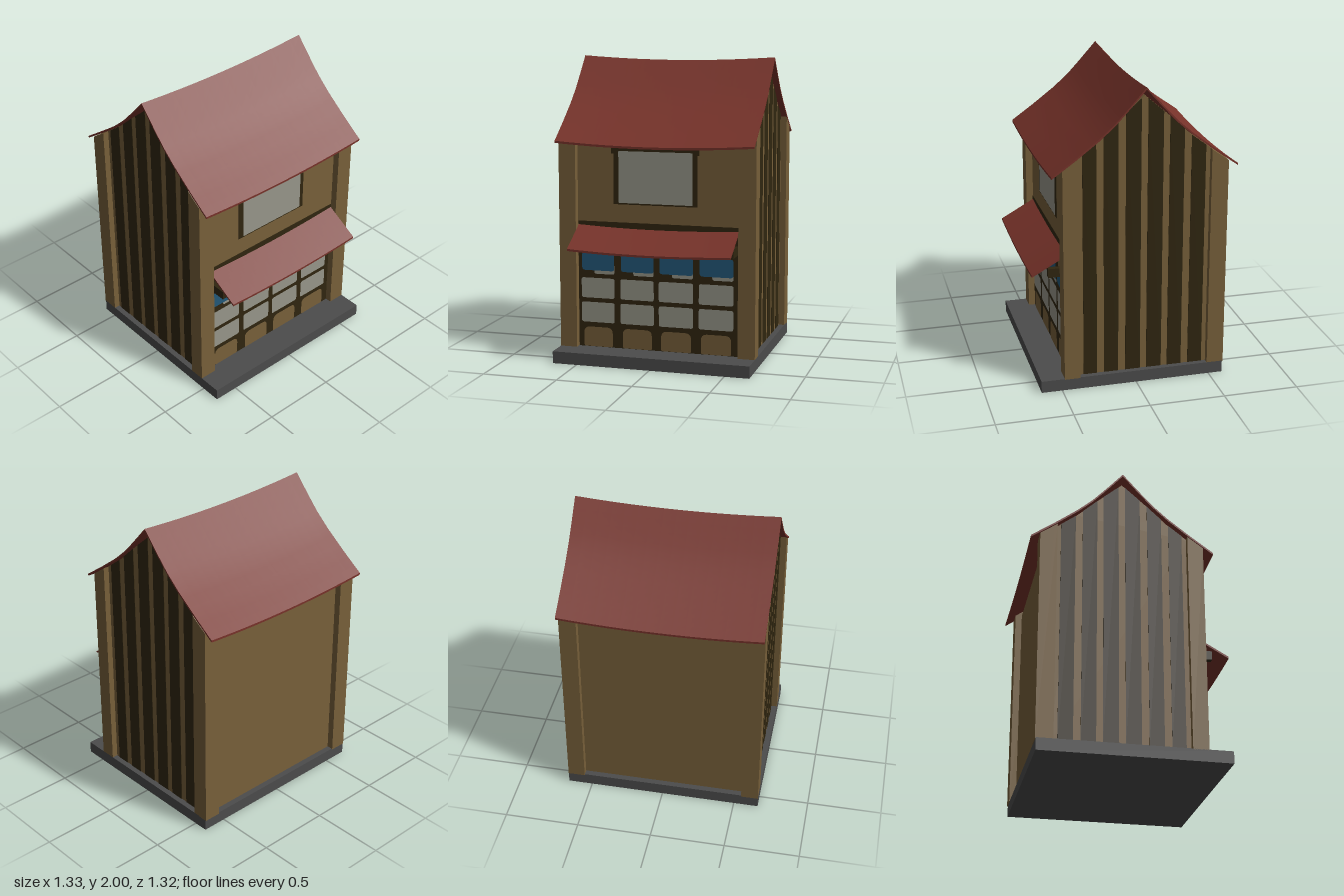
import * as THREE from 'three';

const mat = (name, color) => {
  const m = new THREE.MeshStandardMaterial({ color });
  m.name = name;
  return m;
};

export function createModel() {
  const wood = mat('wood', 0x78603a);
  const darkWood = mat('dark wood', 0x302610);
  const red = mat('roof red', 0x78332a);
  const paper = mat('paper', 0x98978a);
  const blue = mat('blue cloth', 0x23597a);
  const stone = mat('stone', 0x4c4c4c);

  const model = new THREE.Group();
  model.name = 'house';
  const RIDGE = -0.055;

  const add = (name, geometry, material) => {
    const m = new THREE.Mesh(geometry, material);
    m.name = name;
    model.add(m);
    return m;
  };
  // box given by its limits
  const block = (name, material, x0, x1, y0, y1, z0, z1) =>
    add(name, new THREE.BoxGeometry(x1 - x0, y1 - y0, z1 - z0), material)
      .position.set((x0 + x1) / 2, (y0 + y1) / 2, (z0 + z1) / 2);
  // linear interpolation through [d, y] points
  const lerp = (pts, d) => {
    let i = 1;
    while (i < pts.length - 1 && pts[i][0] < d) i++;
    const [a, b] = [pts[i - 1], pts[i]];
    return a[1] + (b[1] - a[1]) * (d - a[0]) / (b[0] - a[0]);
  };
  const roofLine = [[0, 2], [0.1, 1.888], [0.195, 1.785], [0.3, 1.692], [0.45, 1.578], [0.605, 1.468]];
  const gableLine = [[0, 1.94], [0.155, 1.806], [0.3, 1.672], [0.45, 1.558], [0.605, 1.448]];

  // slab standing across x, its top following the gable between z0 and z1
  const gableSlab = (name, material, x0, x1, z0, z1, y0) => {
    const shape = new THREE.Shape();
    shape.moveTo(z0, y0);
    shape.lineTo(z1, y0);
    const zs = [z0, z1];
    for (const [d] of gableLine) zs.push(RIDGE - d, RIDGE + d);
    [...new Set(zs)].filter(z => z >= z0 && z <= z1).sort((a, b) => b - a)
      .forEach(z => shape.lineTo(z, lerp(gableLine, Math.abs(z - RIDGE))));
    const g = new THREE.ExtrudeGeometry(shape, { depth: x1 - x0, bevelEnabled: false });
    g.rotateY(-Math.PI / 2);
    g.translate(x1, 0, 0);
    add(name, g, material);
  };

  // thin sheet sloping down from zTop along a profile, sagging in the middle
  const sheet = (name, profile, zTop, dir, half, sag, thick) => {
    const length = profile[profile.length - 1][0];
    const g = new THREE.BoxGeometry(2 * half, thick, 1, 16, 1, 12);
    const p = g.attributes.position;
    for (let i = 0; i < p.count; i++) {
      const x = p.getX(i);
      const d = (0.5 + dir * p.getZ(i)) * length;
      const drop = p.getY(i) > 0 ? 0 : thick;
      p.setXYZ(i, x, lerp(profile, d) - drop - sag * (1 - (x / half) ** 2), zTop + dir * d);
    }
    g.computeVertexNormals();
    add(name, g, red);
  };

  // flat painted panel with rounded corners (rb = bottom, rt = top radius)
  const panel = (name, material, x0, x1, y0, y1, z, rt = 0.015, rb = rt) => {
    const s = new THREE.Shape();
    s.moveTo(x0 + rb, y0);
    s.lineTo(x1 - rb, y0);
    s.quadraticCurveTo(x1, y0, x1, y0 + rb);
    s.lineTo(x1, y1 - rt);
    s.quadraticCurveTo(x1, y1, x1 - rt, y1);
    s.lineTo(x0 + rt, y1);
    s.quadraticCurveTo(x0, y1, x0, y1 - rt);
    s.lineTo(x0, y0 + rb);
    s.quadraticCurveTo(x0, y0, x0 + rb, y0);
    add(name, new THREE.ShapeGeometry(s, 5), material).position.z = z;
  };

  // base and front and back walls
  block('base', stone, -0.665, 0.665, 0, 0.08, -0.595, 0.637);
  block('frontWall', wood, -0.56, 0.56, 0.08, 1.5, 0.39, 0.435);
  block('backWall', wood, -0.56, 0.56, 0.08, 1.49, -0.555, -0.51);

  // corner posts, gable walls and their dark stripes
  const stripes = [[0.257, 0.347], [0.114, 0.21], [-0.034, 0.066], [-0.178, -0.077], [-0.316, -0.22], [-0.459, -0.363]];
  for (const s of [-1, 1]) {
    const side = (name, material, a, b, z0, z1, y0) =>
      gableSlab(name, material, Math.min(s * a, s * b), Math.max(s * a, s * b), z0, z1, y0);
    side('frontPost', wood, 0.55, 0.665, 0.378, 0.482, 0.075);
    side('backPost', wood, 0.55, 0.665, -0.6, -0.488, 0.075);
    side('gableWall', wood, 0.58, 0.625, -0.5, 0.39, 0.08);
    for (const [z0, z1] of stripes) side('gableStripe', darkWood, 0.622, 0.628, z0, z1, 0.08);
  }

  // sagging roof and awning
  sheet('roofFront', roofLine, RIDGE, 1, 0.665, 0.025, 0.014);
  sheet('roofBack', roofLine, RIDGE, -1, 0.665, 0.025, 0.014);
  sheet('awning', [[0, 0.908], [0.23, 0.779]], 0.434, 1, 0.545, 0.017, 0.014);
  for (const x of [-0.52, -0.14, 0.14, 0.52])
    block('awningBracket', darkWood, x - 0.018, x + 0.018, 0.75, 0.81, 0.43, 0.555);

  // upper window
  block('windowFrame', darkWood, -0.3, 0.268, 1.05, 1.4, 0.43, 0.438);
  block('windowHead', darkWood, -0.315, 0.28, 1.385, 1.445, 0.43, 0.44);
  panel('windowPane', paper, -0.265, 0.237, 1.06, 1.402, 0.442, 0.006);

  // shop front: dark lattice with panes, cloths and lower boards
  block('shopLattice', darkWood, -0.548, 0.548, 0.08, 0.93, 0.43, 0.438);
  for (const [x0, x1] of [[-0.528, -0.298], [-0.257, -0.026], [0.008, 0.242], [0.28, 0.512]]) {
    panel('lowerBoard', wood, x0 + 0.016, x1 - 0.014, 0.082, 0.215, 0.441, 0.04, 0.012);
    panel('pane', paper, x0, x1, 0.247, 0.384, 0.441);
    panel('pane', paper, x0, x1, 0.413, 0.549, 0.441);
    panel('paneBehindCloth', paper, x0 + 0.09, x1, 0.577, 0.65, 0.441);
    panel('cloth', blue, x0 + 0.006, x1, 0.6, 0.722, 0.444, 0.02);
    panel('upperBoard', wood, x0 + 0.03, x1 - 0.03, 0.725, 0.83, 0.441);
  }
  return model;
}
